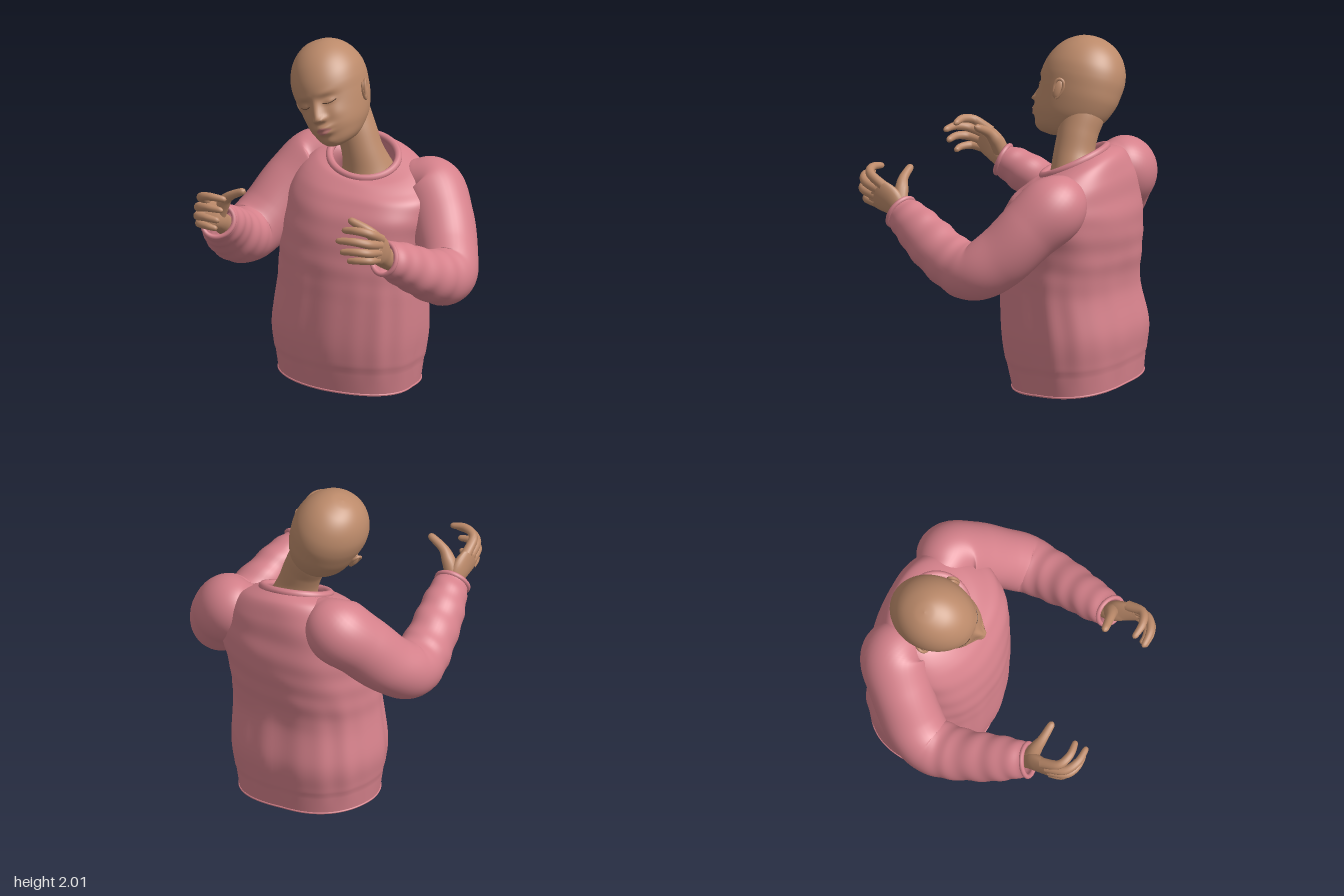
import * as THREE from 'three';
import { mergeVertices } from 'three/addons/utils/BufferGeometryUtils.js';

const V = (x, y, z) => new THREE.Vector3(x, y, z);
const gauss = (x, s) => Math.exp(-(x * x) / (s * s));
const { smoothstep, lerp, clamp } = THREE.MathUtils;

// smooth interpolation through rows of numbers, u in 0..1
function sample(rows, u) {
  const f = clamp(u, 0, 1) * (rows.length - 1);
  const i = Math.min(Math.floor(f), rows.length - 2), t = f - i;
  const at = k => rows[clamp(k, 0, rows.length - 1)];
  return rows[0].map((_, c) => {
    const [a, b, d, e] = [at(i - 1)[c], at(i)[c], at(i + 1)[c], at(i + 2)[c]];
    return b + 0.5 * t * (d - a + t * (2 * a - 5 * b + 4 * d - e + t * (3 * (b - d) + e - a)));
  });
}

// grid surface from fn(u, v): u runs along, v runs around
function surface(nu, nv, fn) {
  const pos = [], index = [];
  for (let i = 0; i <= nu; i++) {
    for (let j = 0; j <= nv; j++) pos.push(...fn(i / nu, j / nv).toArray());
  }
  for (let i = 0; i < nu; i++) {
    for (let j = 0; j < nv; j++) {
      const a = i * (nv + 1) + j, d = a + nv + 1;
      index.push(a, a + 1, d + 1, a, d + 1, d);
    }
  }
  const g = new THREE.BufferGeometry();
  g.setAttribute('position', new THREE.Float32BufferAttribute(pos, 3));
  g.setIndex(index);
  const welded = mergeVertices(g, 1e-5);
  welded.computeVertexNormals();
  return welded;
}

// point on a limb whose rows are [x, y, z, radius, thickness ratio]
function limbPoint(rows, ref, u, v, opt = {}) {
  const p = sample(rows, u), a = sample(rows, u - 0.01), b = sample(rows, u + 0.01);
  const t = V(b[0] - a[0], b[1] - a[1], b[2] - a[2]).normalize();
  const e1 = ref.clone().cross(t).normalize(), e2 = t.clone().cross(e1);
  let r = p[3];
  if (opt.round && u > 0.88) r *= Math.sqrt(Math.max(0.0004, 1 - ((u - 0.88) / 0.12) ** 2));
  if (opt.fold) r *= 1 + opt.fold(u, v * Math.PI * 2);
  const ang = v * Math.PI * 2;
  return V(p[0], p[1], p[2])
    .addScaledVector(e1, Math.cos(ang) * r)
    .addScaledVector(e2, Math.sin(ang) * r * (p[4] ?? 1));
}

const limb = (rows, ref, nu, nv, opt) => surface(nu, nv, (u, v) => limbPoint(rows, ref, u, v, opt));

// rounded edge following a closed ring of points
function rim(fn, radius, n = 40) {
  const pts = Array.from({ length: n }, (_, i) => fn(i / n));
  return new THREE.TubeGeometry(new THREE.CatmullRomCurve3(pts, true), 96, radius, 8, true);
}

// jumper body: [y, centre x, half width, front z, back z, sideways tilt, forward tilt]
const BODY = [
  [0.03, -0.105, 0.408, -0.035, -0.705, -0.075, 0.03],
  [0.2, -0.10, 0.43, 0, -0.72, -0.05, 0],
  [0.36, -0.095, 0.445, 0.015, -0.73, -0.03, 0],
  [0.6, -0.072, 0.43, 0.01, -0.69, 0, 0],
  [0.8, -0.06, 0.43, 0, -0.715, 0, 0],
  [1.0, -0.02, 0.44, -0.04, -0.74, 0, 0],
  [1.14, -0.01, 0.43, -0.10, -0.72, -0.05, 0.05],
  [1.23, -0.01, 0.38, -0.155, -0.70, -0.1, 0.15],
  [1.3, -0.01, 0.3, -0.2, -0.66, -0.14, 0.3],
  [1.325, -0.018, 0.2, -0.235, -0.58, -0.15, 0.45],
];
function bodyPoint(u, v) {
  const [y, cx, rx, zf, zb, sx, sz] = sample(BODY, u);
  const a = v * Math.PI * 2, s = Math.sin(a), c = Math.cos(a);
  const e = lerp(0.86, 1, smoothstep(u, 0.7, 1));
  const low = 1 - smoothstep(y, 0.5, 0.9), mid = smoothstep(y, 0.5, 0.8) * (1 - smoothstep(u, 0.75, 0.95));
  let k = 1 + low * 0.007 * (Math.sin(11 * a) + Math.sin(17 * a + 1)) * smoothstep(y, 0.03, 0.3);
  k += mid * 0.009 * Math.sin(5 * a + y * 26) * Math.cos(y * 17 - 3 * a);
  k -= 0.012 * (1 - smoothstep(y, 0.165, 0.19));
  // the twist of the waist fills one back corner and flattens the opposite front one
  k += 0.07 * Math.abs(s * c) * (s - c) * (1 - smoothstep(y, 0.7, 1.05));
  const dx = rx * k * Math.sign(s) * Math.abs(s) ** e;
  const dz = (zf - zb) / 2 * k * Math.sign(c) * Math.abs(c) ** e;
  return V(cx + dx, y + dx * sx - dz * sz, (zf + zb) / 2 + dz);
}

// head in its own frame: [height, front z, back z, half width]
const HEAD = [
  [-0.335, 0.12, 0.12, 0], [-0.322, 0.19, -0.02, 0.064], [-0.295, 0.218, -0.08, 0.108],
  [-0.25, 0.234, -0.15, 0.143], [-0.2, 0.246, -0.2, 0.168], [-0.12, 0.24, -0.24, 0.191],
  [-0.05, 0.238, -0.255, 0.204], [0.02, 0.238, -0.262, 0.212], [0.09, 0.218, -0.25, 0.205],
  [0.16, 0.178, -0.215, 0.175], [0.215, 0.12, -0.16, 0.128], [0.25, 0.045, -0.085, 0.068],
  [0.26, -0.02, -0.02, 0],
];
// nose, brows, eyelids, cheeks, lips and chin as soft bumps
function faceRelief(x, h) {
  const ax = Math.abs(x);
  const bridge = smoothstep(-h, 0.01, 0.145) * (1 - smoothstep(-h, 0.146, 0.176));
  return 0.05 * bridge * gauss(x, 0.025 + 0.008 * bridge)
    + 0.018 * gauss(ax - 0.027, 0.015) * gauss(h + 0.148, 0.017)
    - 0.018 * gauss(ax - 0.075, 0.042) * gauss(h + 0.052, 0.03)
    + 0.018 * gauss(ax - 0.08, 0.03) * gauss(h + 0.06, 0.018)
    + 0.006 * gauss(ax - 0.07, 0.05) * gauss(h + 0.012, 0.02)
    + 0.008 * gauss(ax - 0.1, 0.04) * gauss(h + 0.14, 0.04)
    + 0.028 * gauss(x, 0.05) * gauss(h + 0.2, 0.017)
    + 0.026 * gauss(x, 0.044) * gauss(h + 0.231, 0.016)
    + 0.01 * gauss(x, 0.04) * gauss(h + 0.29, 0.025);
}
function headPoint(u, v) {
  const [h, zf, zb, w] = sample(HEAD, u);
  const a = v * Math.PI * 2, x = w * Math.sin(a), c = Math.cos(a);
  const relief = c > 0 ? faceRelief(x, h) * smoothstep(c, 0, 0.5) * smoothstep(w, 0, 0.06) : 0;
  return V(x, h, (zf + zb) / 2 + (zf - zb) / 2 * c + relief);
}
// point on the face at a given x and height
function facePoint(x, h, lift) {
  let lo = 0, hi = 1;
  for (let i = 0; i < 24; i++) {
    const m = (lo + hi) / 2;
    if (sample(HEAD, m)[0] < h) lo = m; else hi = m;
  }
  const p = headPoint(lo, Math.asin(clamp(x / sample(HEAD, lo)[3], -1, 1)) / (Math.PI * 2));
  p.z += lift;
  return p;
}

// left arm and hand; the right one is mirrored and sits a little higher
const SLEEVE = [
  [0.13, 1.22, -0.48, 0.02, 1], [0.225, 1.2, -0.505, 0.115, 1], [0.345, 1.145, -0.515, 0.19, 1],
  [0.46, 1.02, -0.42, 0.183, 1], [0.563, 0.86, -0.29, 0.173, 1], [0.62, 0.775, -0.16, 0.168, 0.98],
  [0.61, 0.8, 0, 0.157, 0.92], [0.572, 0.885, 0.18, 0.142, 0.88], [0.528, 0.965, 0.33, 0.124, 0.88],
  [0.5, 1.01, 0.43, 0.096, 0.9],
];
const PALM = [
  [0.52, 0.965, 0.33, 0.06, 0.85], [0.5, 1.02, 0.43, 0.062, 0.8], [0.515, 1.075, 0.5, 0.084, 0.5],
  [0.528, 1.11, 0.57, 0.086, 0.36], [0.53, 1.125, 0.6, 0.072, 0.34],
];
const FINGERS = {
  thumb: [[0.5, 1.05, 0.44, 0.046], [0.46, 1.13, 0.455, 0.04], [0.41, 1.185, 0.475, 0.028], [0.305, 1.235, 0.49, 0.021]],
  indexFinger: [[0.53, 1.155, 0.53, 0.03], [0.515, 1.21, 0.63, 0.026], [0.44, 1.23, 0.665, 0.023], [0.345, 1.22, 0.655, 0.017]],
  middleFinger: [[0.535, 1.13, 0.56, 0.029], [0.515, 1.16, 0.665, 0.026], [0.44, 1.18, 0.715, 0.023], [0.335, 1.175, 0.72, 0.017]],
  ringFinger: [[0.535, 1.09, 0.575, 0.028], [0.515, 1.11, 0.675, 0.025], [0.45, 1.12, 0.715, 0.022], [0.36, 1.11, 0.715, 0.017]],
  littleFinger: [[0.53, 1.05, 0.58, 0.026], [0.515, 1.06, 0.655, 0.023], [0.45, 1.06, 0.685, 0.02], [0.39, 1.05, 0.68, 0.015]],
};
const toRight = rows => rows.map(([x, y, z, ...rest]) =>
  [-x - 0.035 * clamp((z + 0.1) / 0.5, 0, 1), y + 0.085, z, ...rest]);

export function createModel() {
  const material = (name, color, side = THREE.FrontSide) =>
    Object.assign(new THREE.MeshStandardMaterial({ color, side }), { name });
  const skin = material('skin', 0xbc8a6a);
  const wool = material('pink wool', 0xd5818b, THREE.DoubleSide);
  const lipColour = material('lip', 0xba7570, THREE.DoubleSide);
  const lashColour = material('lash', 0x5a3f30);

  const model = new THREE.Group();
  model.name = 'figure';
  const add = (parent, name, geometry, mat) => {
    const mesh = new THREE.Mesh(geometry, mat);
    mesh.name = name;
    parent.add(mesh);
    return mesh;
  };

  // jumper
  add(model, 'jumperBody', surface(90, 120, bodyPoint), wool);
  add(model, 'hem', rim(v => bodyPoint(0.008, v), 0.006), wool);
  add(model, 'collar', rim(v => bodyPoint(1, v), 0.022), wool);

  // arms
  const X = V(1, 0, 0), Y = V(0, 1, 0);
  const fold = (u, a) => smoothstep(u, 0.54, 0.68) * 0.024 * Math.sin(u * 75 + Math.sin(a) * 1.6)
    + 0.012 * Math.sin(u * 34 + 2 * a) * smoothstep(u, 0.2, 0.45);
  for (const side of ['left', 'right']) {
    const isLeft = side === 'left';
    const place = isLeft ? rows => rows : toRight;
    const hinge = V(isLeft ? 0.8 : -0.8, 0.6, 0); // normal of the plane the arm bends in
    const arm = new THREE.Group();
    arm.name = side + 'Arm';
    model.add(arm);
    const sleeve = place(SLEEVE);
    add(arm, side + 'Sleeve', limb(sleeve, hinge, 110, 40, { fold }), wool);
    add(arm, side + 'Cuff', rim(v => limbPoint(sleeve, hinge, 1, v, { fold }), 0.014), wool);
    add(arm, side + 'Palm', limb(place(PALM), X, 32, 28, { round: true }), skin);
    for (const [name, rows] of Object.entries(FINGERS)) {
      add(arm, side + name[0].toUpperCase() + name.slice(1), limb(place(rows), Y, 30, 14, { round: true }), skin);
    }
  }

  // neck
  add(model, 'neck', limb([
    [0, 1.15, -0.44, 0.2], [-0.005, 1.25, -0.42, 0.15], [-0.025, 1.36, -0.4, 0.119],
    [-0.065, 1.48, -0.4, 0.116], [-0.125, 1.6, -0.405, 0.122], [-0.19, 1.74, -0.39, 0.1],
  ], X, 40, 40), skin);

  // tilted head
  const head = new THREE.Group();
  head.name = 'head';
  head.position.set(-0.197, 1.745, -0.33);
  head.rotation.z = THREE.MathUtils.degToRad(22);
  model.add(head);
  add(head, 'skull', surface(130, 128, headPoint), skin);
  add(head, 'lips', surface(10, 24, (u, v) => {
    const s = 2 * v - 1, half = 0.021 * (1 - s * s);
    return facePoint(s * 0.05, -0.216 + (2 * u - 1) * half, 0.002);
  }), lipColour);

  for (const s of [-1, 1]) {
    const name = s > 0 ? 'left' : 'right';
    // closed eyelid line
    const lash = Array.from({ length: 9 }, (_, i) =>
      facePoint(s * (0.043 + i * 0.0092), -0.064 - 0.009 * Math.sin(i / 8 * Math.PI), 0.001));
    add(head, name + 'Lashes', new THREE.TubeGeometry(new THREE.CatmullRomCurve3(lash), 24, 0.0025, 6), lashColour);
    // ear: bowl and an open curl narrowing to the lobe
    const ear = new THREE.Group();
    ear.name = name + 'Ear';
    ear.position.set(s * 0.202, -0.09, 0.008);
    ear.rotation.set(-0.15, s * 0.4, s * -0.1);
    head.add(ear);
    add(ear, name + 'EarBowl', new THREE.SphereGeometry(1, 20, 14), skin).scale.set(0.018, 0.056, 0.03);
    const curl = Array.from({ length: 14 }, (_, i) => {
      const a = lerp(-0.5, 4.6, i / 13), y = Math.sin(a);
      return V(s * (0.008 + 0.008 * y), 0.056 * y + 0.004, Math.cos(a) * (0.026 + 0.008 * y));
    });
    add(ear, name + 'EarCurl', new THREE.TubeGeometry(new THREE.CatmullRomCurve3(curl), 40, 0.009, 8), skin);
  }
  return model;
}
